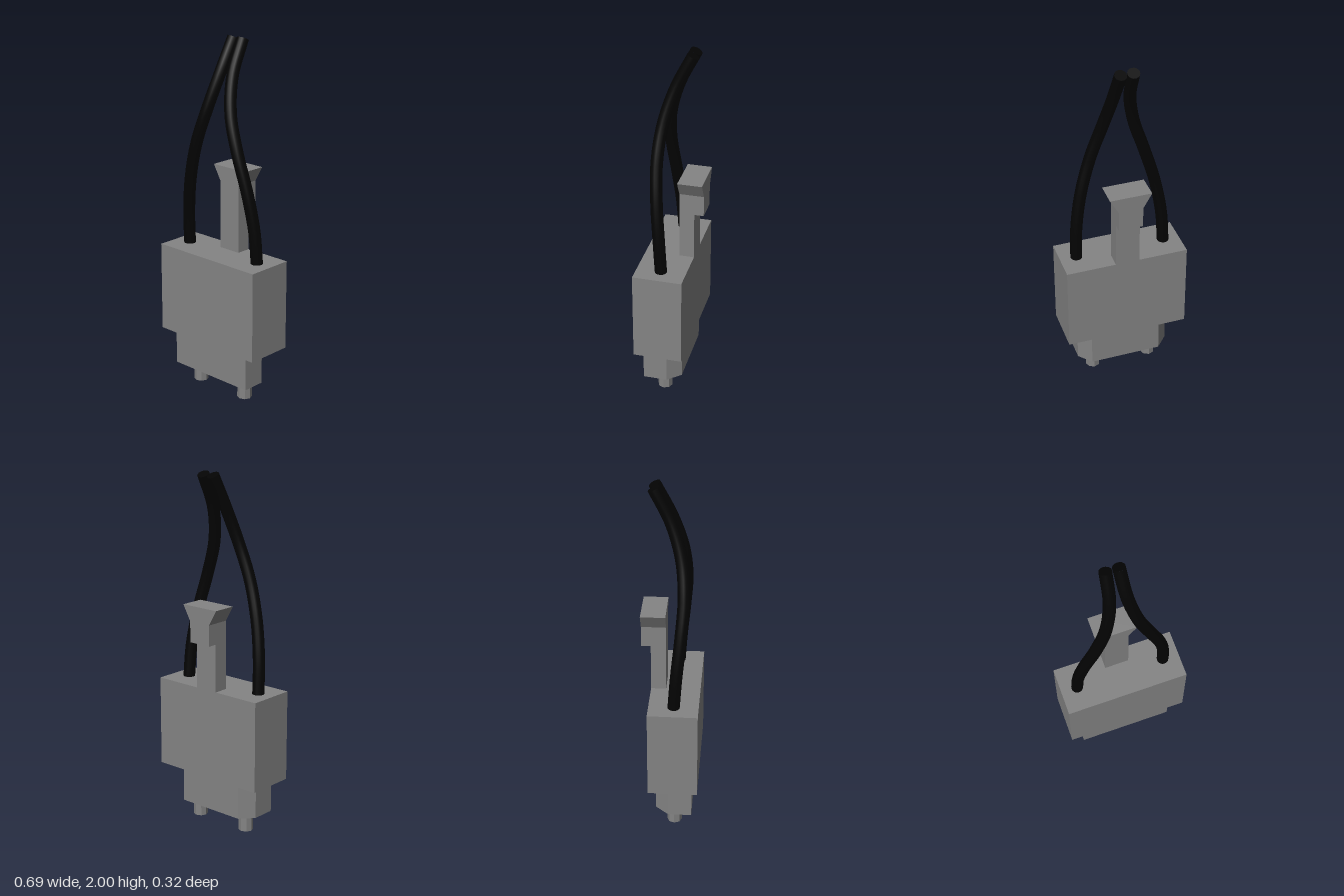
import * as THREE from 'three';

const grey = new THREE.MeshStandardMaterial({ color: 0x848484, flatShading: true });
const black = new THREE.MeshStandardMaterial({ color: 0x030303 });

export function createModel() {
  const group = new THREE.Group();
  const add = (name, geometry, material = grey) => {
    const mesh = new THREE.Mesh(geometry, material);
    mesh.name = name;
    group.add(mesh);
    return mesh;
  };
  const extrude = (points, depth) => new THREE.ExtrudeGeometry(
    new THREE.Shape(points.map(([x, y]) => new THREE.Vector2(x, y))),
    { depth, bevelEnabled: false });

  // Main housing
  add('housing', new THREE.BoxGeometry(0.694, 0.508, 0.272)).position.set(0, 0.561, 0.026);

  // Plug skirt: plan outline with chamfered back corners (shape y = -z)
  const skirt = extrude([
    [-0.268, -0.128], [0.268, -0.128], [0.268, 0.004], [0.203, 0.077], [-0.203, 0.077], [-0.268, 0.004],
  ], 0.204);
  skirt.rotateX(-Math.PI / 2);
  add('plugSkirt', skirt).position.y = 0.104;

  // Latch: slim stem, then a thicker head that flares at the top
  add('latchStem', new THREE.BoxGeometry(0.136, 0.275, 0.083)).position.set(0, 0.9525, -0.0685);
  add('latchHead', extrude([
    [-0.068, 1.083], [0.068, 1.083], [0.068, 1.2], [0.117, 1.286], [-0.117, 1.286], [-0.068, 1.2],
  ], 0.135)).position.z = -0.162;

  // Mirrored contact pins and cables
  const path = [
    [0.254, 0.8, 0.026], [0.245, 1.0, 0.04], [0.21, 1.21, 0.06], [0.15, 1.42, 0.073],
    [0.087, 1.61, 0.056], [0.046, 1.8, 0], [0.034, 1.985, -0.091],
  ];
  for (const side of [1, -1]) {
    const label = side > 0 ? 'left' : 'right';
    add(label + 'Pin', new THREE.CylinderGeometry(0.041, 0.041, 0.105, 8))
      .position.set(side * 0.17, 0.0525, 0.028);

    const curve = new THREE.CatmullRomCurve3(
      path.map(([x, y, z]) => new THREE.Vector3(side * x, y, z)));
    add(label + 'Cable', new THREE.TubeGeometry(curve, 32, 0.033, 16), black);

    // Flat cut end of the cable
    const cap = add(label + 'CableEnd', new THREE.CircleGeometry(0.033, 16), black);
    cap.position.copy(curve.getPoint(1));
    cap.quaternion.setFromUnitVectors(new THREE.Vector3(0, 0, 1), curve.getTangent(1));
  }
  return group;
}
